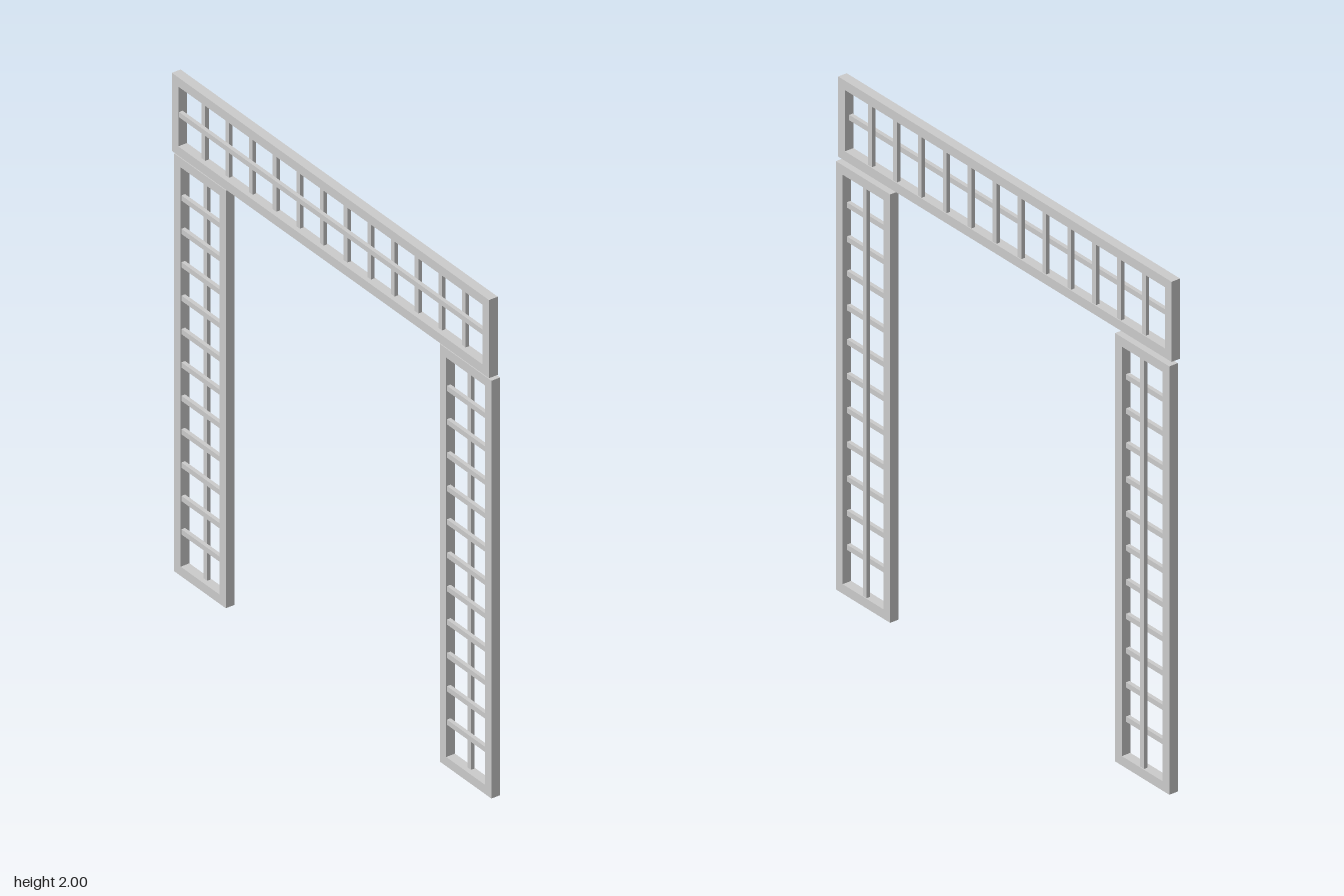
import * as THREE from 'three';

const material = new THREE.MeshStandardMaterial({ color: 0xcccccc });
const DEPTH = 0.037; // frame thickness
const RAIL = 0.037; // frame face width
const SLAT = 0.021; // slat face width
const SLAT_DEPTH = 0.015;

// Rectangular frame with one opening, centred on the origin
function makeFrame(width, height) {
  const w = width / 2, h = height / 2;
  const rect = (Type, x, y) => {
    const path = new Type();
    path.moveTo(-x, -y);
    path.lineTo(x, -y);
    path.lineTo(x, y);
    path.lineTo(-x, y);
    path.closePath();
    return path;
  };
  const shape = rect(THREE.Shape, w, h);
  shape.holes.push(rect(THREE.Path, w - RAIL, h - RAIL));
  const geometry = new THREE.ExtrudeGeometry(shape, { depth: DEPTH, bevelEnabled: false });
  geometry.translate(0, 0, -DEPTH / 2);
  const mesh = new THREE.Mesh(geometry, material);
  mesh.name = 'frame';
  return mesh;
}

// Framed lattice: horizontal slats in front, vertical slats behind
function makePanel(name, width, height, verticals, horizontals) {
  const panel = new THREE.Group();
  panel.name = name;
  panel.add(makeFrame(width, height));
  const addSlat = (slatName, w, h, x, y, z) => {
    const slat = new THREE.Mesh(new THREE.BoxGeometry(w, h, SLAT_DEPTH), material);
    slat.name = slatName;
    slat.position.set(x, y, z);
    panel.add(slat);
  };
  const innerW = width - 2 * RAIL, innerH = height - 2 * RAIL;
  for (const y of horizontals) addSlat('horizontalSlat', innerW, SLAT, 0, y, SLAT_DEPTH / 2);
  for (const x of verticals) addSlat('verticalSlat', SLAT, innerH, x, 0, -SLAT_DEPTH / 2);
  return panel;
}

const series = (count, start, step) => Array.from({ length: count }, (_, i) => start + i * step);

export function createModel() {
  const model = new THREE.Group();
  model.name = 'trellisArch';

  // Side panels, set slightly behind the header
  const sideHeight = 1.673;
  for (const side of [1, -1]) {
    const panel = makePanel(
      side > 0 ? 'leftPanel' : 'rightPanel', 0.297, sideHeight,
      [-side * 0.005], series(11, 0.175 - sideHeight / 2, 0.1337)
    );
    panel.position.set(side * 0.765, sideHeight / 2, -0.005);
    model.add(panel);
  }

  // Header panel across the top
  const header = makePanel('headerPanel', 1.827, 0.313, series(12, -0.757, 0.1364), [0.006]);
  header.position.set(0, 1.8435, 0.005);
  model.add(header);

  return model;
}
